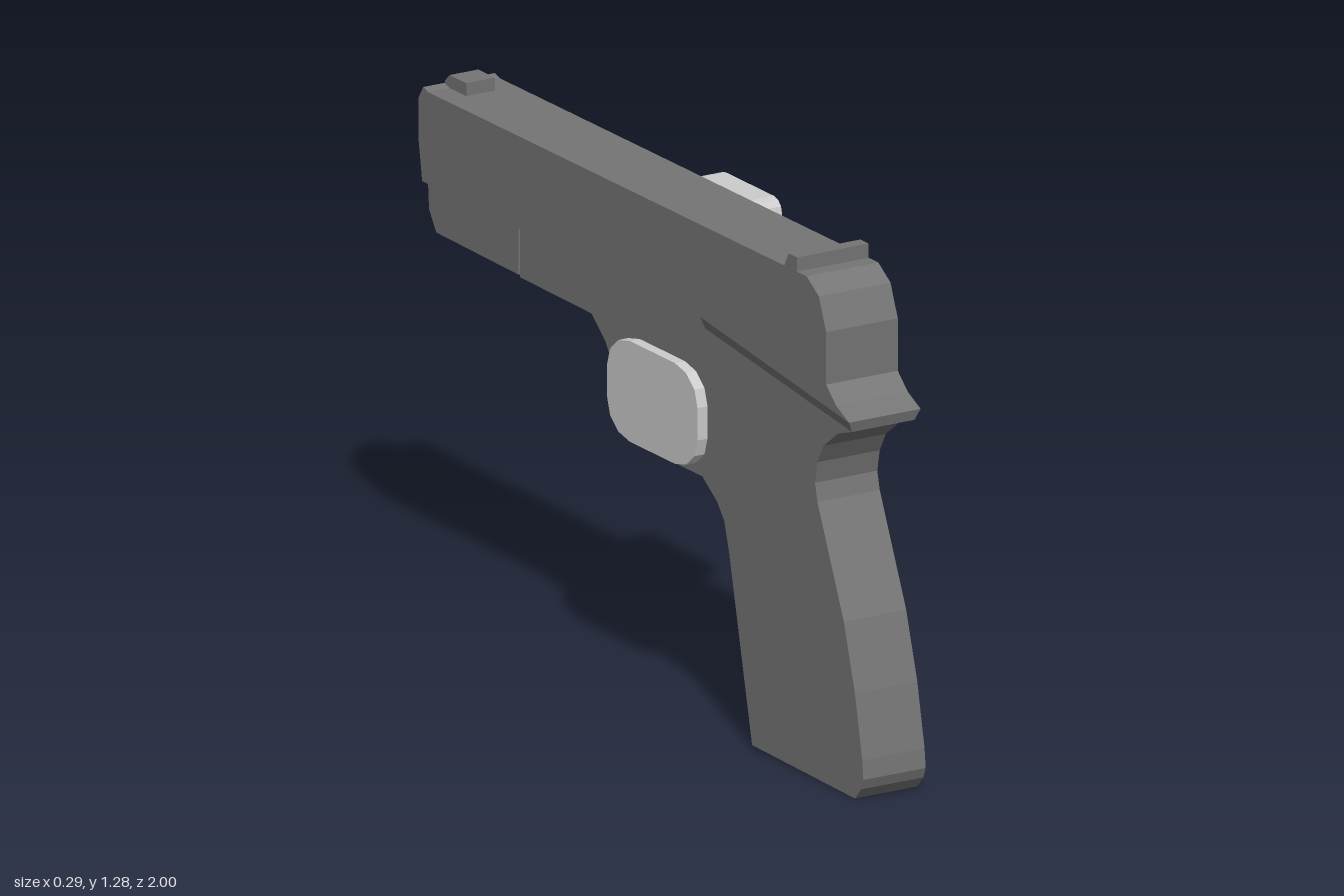
import * as THREE from 'three';

const CX = -0.04; // middle plane of the body
const dark = new THREE.MeshStandardMaterial({ color: 0x747474, flatShading: true });
const light = new THREE.MeshStandardMaterial({ color: 0xcccccc, flatShading: true });

// Extrude a side outline of [z, y] points across x0..x1
function slab(name, points, x0, x1, material = dark) {
  const shape = new THREE.Shape(points.map(([z, y]) => new THREE.Vector2(-z, y)));
  const geometry = new THREE.ExtrudeGeometry(shape, { depth: x1 - x0, bevelEnabled: false });
  geometry.rotateY(Math.PI / 2).translate(x0, 0, 0);
  const mesh = new THREE.Mesh(geometry, material);
  mesh.name = name;
  return mesh;
}
const centred = (name, points, half) => slab(name, points, CX - half, CX + half);

// Rectangle in z, y with rounded corners
function roundedOutline(z0, z1, y0, y1, rz, ry, steps) {
  const points = [];
  const corners = [[z1 - rz, y1 - ry], [z0 + rz, y1 - ry], [z0 + rz, y0 + ry], [z1 - rz, y0 + ry]];
  corners.forEach(([z, y], i) => {
    for (let k = 0; k <= steps; k++) {
      const a = (i + k / steps) * Math.PI / 2;
      points.push([z + rz * Math.cos(a), y + ry * Math.sin(a)]);
    }
  });
  return points;
}

export function createModel() {
  const model = new THREE.Group();
  model.name = 'pistol';

  // Slide, with the tail at its rear
  model.add(centred('slide', [
    [0.957, 0.933], [0.9, 0.96], [0.856, 1.0], [0.856, 1.13], [0.824, 1.21], [0.77, 1.245],
    [-0.904, 1.243], [-0.925, 1.25], [-0.947, 1.217], [-0.947, 1.12], [-0.93, 1.015], [0.3, 1.015],
  ], 0.1));

  // Sloping shoulder from the slide down to the grip
  const shoulder = centred('shoulder', [[0.957, 0.933], [0.3, 1.015], [0.3, 0.985], [0.95, 0.906]], 0.1);
  const p = shoulder.geometry.attributes.position;
  for (let i = 0; i < p.count; i++) {
    const lower = p.getY(i) < 0.92 || Math.abs(p.getY(i) - 0.985) < 0.01;
    if (lower) p.setX(i, CX + Math.sign(p.getX(i) - CX) * 0.087);
  }
  shoulder.geometry.computeVertexNormals();
  model.add(shoulder);

  // Grip
  model.add(centred('grip', [
    [0.3, 1.015], [0.95, 0.93], [0.95, 0.906], [0.888, 0.885], [0.824, 0.837], [0.797, 0.789],
    [0.786, 0.735], [0.797, 0.69], [0.85, 0.57], [0.914, 0.425], [0.963, 0.26], [0.995, 0.104],
    [1, 0.056], [0.99, 0.03], [0.963, 0], [0.508, 0.008], [0.406, 0.46], [0.385, 0.53],
    [0.353, 0.57], [0.294, 0.61], [0.28, 0.63], [0.32, 0.71], [0.347, 0.826], [0.33, 0.88],
  ], 0.087));

  // Frame with the trigger guard, then the front of the frame
  model.add(centred('guardFrame', [
    [0.4, 1.02], [0.4, 0.6], [0.294, 0.61], [-0.027, 0.61], [-0.09, 0.655], [-0.112, 0.7],
    [-0.123, 0.783], [-0.15, 0.826], [-0.214, 0.88], [-0.53, 0.883], [-0.53, 1.02],
  ].map(([z, y]) => [z === 0.4 && y < 1 ? 0.34 : z, y]), 0.08));
  model.add(centred('frontFrame', [
    [-0.53, 1.02], [-0.53, 0.89], [-0.893, 0.895], [-0.925, 0.944], [-0.93, 1.02],
  ], 0.084));

  // Sights
  model.add(centred('rearSight', [[0.727, 1.24], [0.727, 1.28], [0.69, 1.28], [0.668, 1.24]], 0.1));
  model.add(centred('frontSight', [
    [-0.83, 1.24], [-0.83, 1.275], [-0.904, 1.275], [-0.925, 1.255], [-0.925, 1.24],
  ], 0.04));

  // Pale block through the guard and pale block on the side of the slide
  model.add(slab('guardBlock', roundedOutline(-0.1, 0.3, 0.625, 0.875, 0.1, 0.085, 3), -0.148, 0.057, light));
  model.add(slab('sideBlock', roundedOutline(-0.075, 0.21, 1.105, 1.232, 0.035, 0.035, 3), 0.04, 0.145, light));

  // Hollow muzzle
  const profile = [[0.06, 0], [0.06, 0.08], [0.04, 0.08], [0.04, 0.03], [0, 0.03]];
  const muzzle = new THREE.Mesh(
    new THREE.LatheGeometry(profile.map(([r, y]) => new THREE.Vector2(r, y)), 20), dark);
  muzzle.name = 'muzzle';
  muzzle.rotation.x = -Math.PI / 2;
  muzzle.position.set(CX, 1.16, -0.92);
  model.add(muzzle);

  return model;
}
